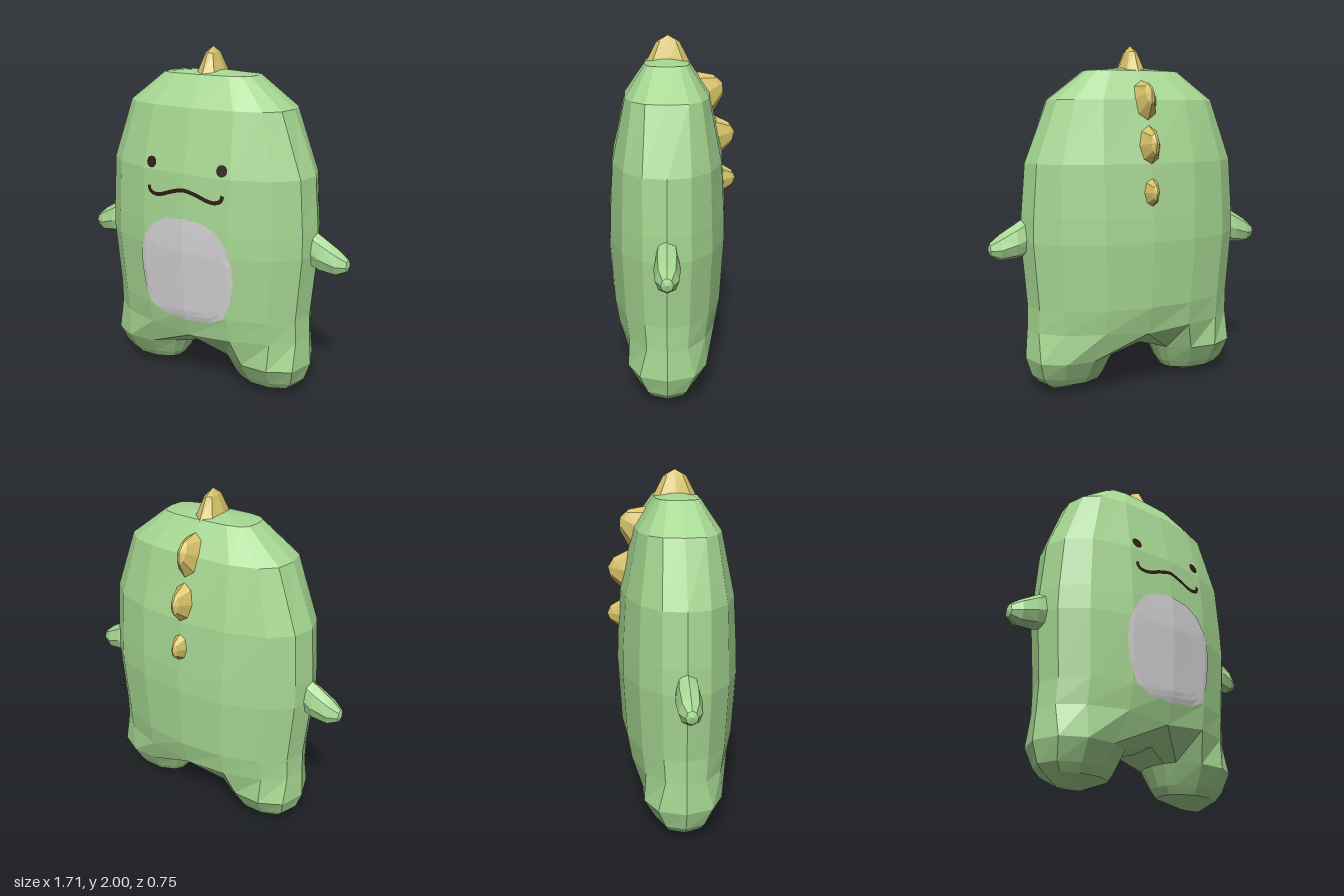
import * as THREE from 'three';

const ZC = 0.025; // depth of the middle plane

// Adds a faceted skin through rings ordered along the axis; optional end caps
function loft(out, rings, capStart, capEnd) {
  const n = rings[0].length;
  for (let k = 0; k < rings.length - 1; k++) {
    const a = rings[k], b = rings[k + 1];
    for (let i = 0; i < n; i++) {
      const j = (i + 1) % n;
      out.push(...a[i], ...a[j], ...b[j], ...a[i], ...b[j], ...b[i]);
    }
  }
  const cap = (r, flip, c) => r.forEach((p, i) => {
    const q = r[(i + 1) % n];
    out.push(...(flip ? q : p), ...(flip ? p : q), ...c);
  });
  if (capStart) cap(rings[0], true, capStart);
  if (capEnd) cap(rings[rings.length - 1], false, capEnd);
}

const flip = (p) => [-p[0], p[1], p[2]];
const mirrorRings = (rings) => rings.map((r) => r.map(flip).reverse());

function toGeometry(list) {
  const g = new THREE.BufferGeometry();
  g.setAttribute('position', new THREE.Float32BufferAttribute(list, 3));
  g.computeVertexNormals();
  return g;
}

// Sixteen-sided body ring, front centre first; lower p makes it boxier
function bodyRing(y, w, d, p = 1) {
  const xs = [0, 0.41, 0.75, 0.94, 1], zs = [1, 0.93, 0.7, 0.37, 0];
  const ring = [];
  for (let i = 0; i < 16; i++) {
    const q = i % 8, k = q <= 4 ? q : 8 - q;
    const sx = i < 8 ? 1 : -1, sz = i < 4 || i > 12 ? 1 : -1;
    ring.push([sx * w * xs[k] ** p, y, ZC + sz * d * zs[k] ** p]);
  }
  return ring;
}

// Twelve-sided leg ring whose last three points face the other leg
function legRing(y, cx, hw, d) {
  const angles = [];
  for (let i = 0; i <= 8; i++) angles.push(145 - 36.25 * i);
  angles.push(197, 180, 163);
  return angles.map((deg) => {
    const a = deg * Math.PI / 180, s = Math.sin(a);
    return [cx + hw * Math.cos(a), y, ZC + d * Math.sign(s) * Math.abs(s) ** 0.8];
  });
}

function bodyGeometry() {
  const out = [];
  const join = bodyRing(0.38, 0.642, 0.3);
  join[0] = [0, 0.355, ZC + 0.28];
  join[8] = [0, 0.355, ZC - 0.28];
  loft(out, [
    join,
    bodyRing(0.52, 0.637, 0.325),
    bodyRing(0.9, 0.668, 0.345),
    bodyRing(1.04, 0.664, 0.341),
    bodyRing(1.34, 0.638, 0.32, 0.95),
    bodyRing(1.69, 0.5, 0.24, 0.78),
    bodyRing(1.855, 0.28, 0.125, 0.6),
  ], null, [0, 1.88, ZC]);
  // Legs branch from the lowest ring around a raised crotch
  const legs = [
    legRing(0.005, 0.425, 0.08, 0.03),
    legRing(0.055, 0.395, 0.185, 0.135),
    legRing(0.1, 0.4, 0.22, 0.165),
    legRing(0.21, 0.395, 0.26, 0.23),
    [...join.slice(0, 9), [0, 0.265, -0.12], [0, 0.25, ZC], [0, 0.265, 0.17]],
  ];
  const sole = [0.425, 0.003, ZC];
  loft(out, legs, sole, null);
  loft(out, mirrorRings(legs), flip(sole), null);
  return toGeometry(out);
}

// Arm: x, top, bottom, half depth for each section
function armGeometry(side) {
  const rings = [
    [0.6, 1.06, 0.83, 0.055], [0.7, 1.0, 0.8, 0.07],
    [0.79, 0.945, 0.795, 0.062], [0.845, 0.9, 0.825, 0.032],
  ].map(([x, top, bottom, hz]) => {
    const mid = bottom + (top - bottom) * 0.45;
    const ring = [];
    for (let i = 0; i < 8; i++) {
      const a = i * Math.PI / 4, c = Math.cos(a);
      ring.push([x, mid + c * (c > 0 ? top - mid : mid - bottom), ZC + hz * Math.sin(a)]);
    }
    return ring;
  });
  const out = [], tip = [0.857, 0.865, ZC];
  if (side > 0) loft(out, rings, null, tip);
  else loft(out, mirrorRings(rings), null, flip(tip));
  return toGeometry(out);
}

// Blunt spike standing on y = 0
function spikeGeometry(hx, hz, h) {
  const rings = [[-0.03, 1, 1], [0, 1, 1], [h * 0.76, 0.4, 0.52]].map(([y, fx, fz]) => {
    const ring = [];
    for (let i = 0; i < 8; i++) {
      const a = i * Math.PI / 4;
      ring.push([hx * fx * Math.sin(a), y, hz * fz * Math.cos(a)]);
    }
    return ring;
  });
  const out = [];
  loft(out, rings, [0, -0.03, 0], [0, h, 0]);
  return toGeometry(out);
}

export function createModel() {
  const group = new THREE.Group();
  const mat = (name, color) => {
    const m = new THREE.MeshStandardMaterial({ color, flatShading: true });
    m.name = name;
    return m;
  };
  const green = mat('soft green', 0xa6d792);
  const grey = mat('belly grey', 0xd2d0d2);
  const yellow = mat('spike yellow', 0xd6c268);
  const dark = mat('dark brown', 0x2c1c10);
  const add = (name, geometry, material) => {
    const m = new THREE.Mesh(geometry, material);
    m.name = name;
    group.add(m);
    return m;
  };

  const body = add('body', bodyGeometry(), green);
  add('leftArm', armGeometry(1), green);
  add('rightArm', armGeometry(-1), green);

  // Spikes: y, z, half width, half length, height, backward tilt
  [
    [1.85, ZC - 0.005, 0.08, 0.125, 0.15, 0],
    [1.69, -0.195, 0.07, 0.12, 0.105, 1.12],
    [1.44, -0.27, 0.062, 0.11, 0.095, 1.4],
    [1.18, -0.295, 0.05, 0.085, 0.08, 1.52],
  ].forEach(([y, z, hx, hz, h, tilt], i) => {
    const s = add(i ? 'backSpike' + i : 'headSpike', spikeGeometry(hx, hz, h), yellow);
    s.position.set(0, y, z);
    s.rotation.x = -tilt;
  });

  // Places a point of the front just above the body surface
  const ray = new THREE.Raycaster();
  const drape = (x, y, lift) => {
    ray.set(new THREE.Vector3(x, y, 2), new THREE.Vector3(0, 0, -1));
    const hit = ray.intersectObject(body)[0];
    return [x, y, (hit ? hit.point.z : 0.3) + lift];
  };
  // Patch of concentric rings that follows the body; outline counterclockwise
  const patch = (cx, cy, outline, steps, lift) => {
    const rings = [];
    for (let s = steps; s >= 1; s--) {
      rings.push(outline.map(([x, y]) =>
        drape(cx + (x - cx) * s / steps, cy + (y - cy) * s / steps, lift)));
    }
    const out = [];
    loft(out, rings, null, drape(cx, cy, lift));
    return toGeometry(out);
  };

  // Belly
  const half = [[0, 0.47], [0.15, 0.48], [0.235, 0.52], [0.28, 0.63], [0.3, 0.75],
    [0.295, 0.86], [0.265, 0.95], [0.205, 1.035], [0.12, 1.08], [0, 1.092]];
  const outline = [...half, ...half.slice(1, -1).reverse().map(([x, y]) => [-x, y])];
  add('belly', patch(0, 0.78, outline, 10, 0.005), grey);

  // Eyes
  for (const side of [1, -1]) {
    const disc = [];
    for (let i = 0; i < 14; i++) {
      const a = i * Math.PI / 7;
      disc.push([side * 0.223 + 0.032 * Math.cos(a), 1.382 + 0.032 * Math.sin(a)]);
    }
    add(side > 0 ? 'leftEye' : 'rightEye', patch(side * 0.223, 1.382, disc, 2, 0.005), dark);
  }

  // Mouth ribbon
  const right = [[0.235, 1.25], [0.225, 1.22], [0.19, 1.206], [0.15, 1.21], [0.07, 1.238]];
  const path = new THREE.CatmullRomCurve3(
    [...right.map(([x, y]) => [-x, y]), [0, 1.253], ...right.slice().reverse()]
      .map(([x, y]) => new THREE.Vector3(x, y, 0)));
  const ribbon = [];
  let prev = null;
  for (let i = 0; i <= 48; i++) {
    const p = path.getPointAt(i / 48), t = path.getTangentAt(i / 48);
    const lo = drape(p.x + t.y * 0.011, p.y - t.x * 0.011, 0.005);
    const hi = drape(p.x - t.y * 0.011, p.y + t.x * 0.011, 0.005);
    if (prev) ribbon.push(...prev[0], ...lo, ...hi, ...prev[0], ...hi, ...prev[1]);
    prev = [lo, hi];
  }
  add('mouth', toGeometry(ribbon), dark);
  return group;
}
